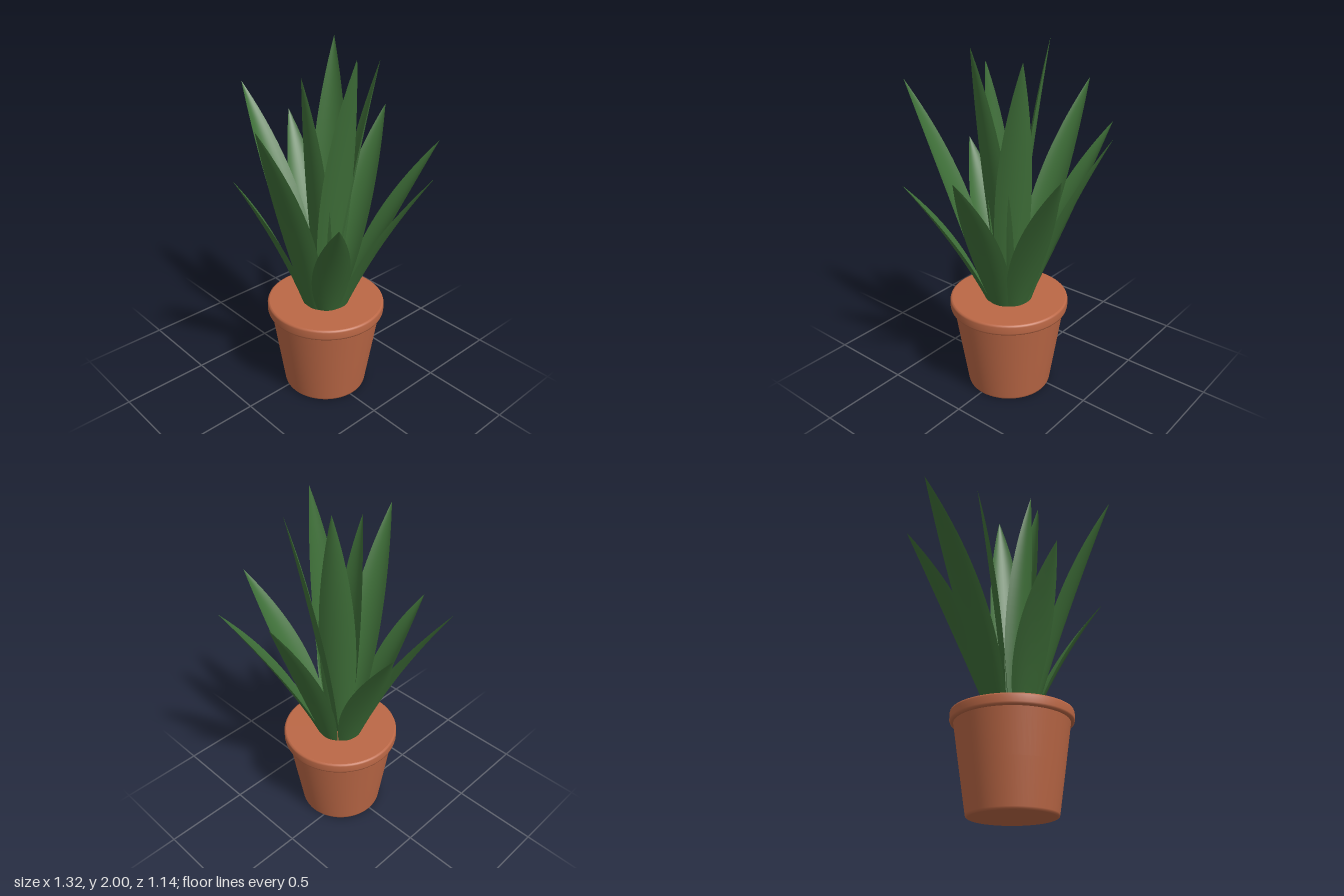
import * as THREE from 'three';

const CENTRE_X = 0.073, CENTRE_Z = -0.015, POT_TOP = 0.55;

// Tip positions [x, y, z] of the blades
const OUTER_TIPS = [
  [-0.04, 1.56, -0.575], [0.37, 1.455, -0.565], [0.66, 1.44, -0.175], [0.52, 1.27, 0.32],
  [0.24, 1.735, 0.57], [-0.13, 1.35, 0.445], [-0.66, 1.67, -0.025], [-0.535, 1.48, -0.27],
];
const INNER_TIPS = [
  [-0.055, 2, -0.18], [0.06, 1.86, 0.145], [0.225, 1.92, -0.23], [0.31, 1.975, 0.02],
];

// A channelled blade leaning from the pot's axis out to its tip
function leafGeometry([tx, ty, tz], baseRadius) {
  const dx = tx - CENTRE_X, dz = tz - CENTRE_Z;
  const reach = Math.hypot(dx, dz);
  const cos = dx / reach, sin = dz / reach;
  const geometry = new THREE.PlaneGeometry(2, 1, 10, 24);
  const pos = geometry.attributes.position;
  for (let i = 0; i < pos.count; i++) {
    const u = pos.getX(i), t = pos.getY(i) + 0.5;
    const halfWidth = (1 - t) * (0.055 + 0.28 * t);
    const side = u * halfWidth;
    const spine = baseRadius + (reach - baseRadius) * (0.75 * t + 0.25 * t * t);
    const r = spine - 0.3 * halfWidth * u * u;
    pos.setXYZ(i,
      CENTRE_X + cos * r - sin * side,
      POT_TOP - 0.01 + (ty - POT_TOP + 0.01) * t,
      CENTRE_Z + sin * r + cos * side);
  }
  geometry.computeVertexNormals();
  return geometry;
}

// Lathe with each profile section smooth on its own, so corners stay sharp
function lathe(points) {
  return new THREE.LatheGeometry(points.map(([r, y]) => new THREE.Vector2(r, y)), 64);
}

export function createModel() {
  const model = new THREE.Group();
  const terracotta = new THREE.MeshStandardMaterial({ color: 0xbc6846 });
  terracotta.name = 'terracotta';
  const leafGreen = new THREE.MeshStandardMaterial({ color: 0x3f7039, side: THREE.DoubleSide });
  leafGreen.name = 'leafGreen';

  // Pot: base, tapered wall, rounded rim and flat top
  const pot = new THREE.Group();
  pot.name = 'pot';
  pot.position.set(CENTRE_X, 0, CENTRE_Z);
  const sections = {
    potBase: [[0, 0], [0.23, 0]],
    potWall: [[0.23, 0], [0.237, 0.004], [0.24, 0.014], [0.276, 0.25], [0.312, 0.49]],
    rimUnderside: [[0.305, 0.488], [0.322, 0.488]],
    rim: [[0.322, 0.488], [0.33, 0.492], [0.333, 0.502], [0.333, 0.538], [0.33, 0.547], [0.322, POT_TOP]],
    potTop: [[0.322, POT_TOP], [0, POT_TOP]],
  };
  for (const [name, points] of Object.entries(sections)) {
    const mesh = new THREE.Mesh(lathe(points), terracotta);
    mesh.name = name;
    pot.add(mesh);
  }
  model.add(pot);

  // Two rings of leaves
  const addRing = (name, tips, baseRadius) => {
    const ring = new THREE.Group();
    ring.name = name + 'Leaves';
    tips.forEach((tip, i) => {
      const leaf = new THREE.Mesh(leafGeometry(tip, baseRadius), leafGreen);
      leaf.name = `${name}Leaf${i + 1}`;
      ring.add(leaf);
    });
    model.add(ring);
  };
  addRing('outer', OUTER_TIPS, 0.13);
  addRing('inner', INNER_TIPS, 0.035);

  return model;
}
